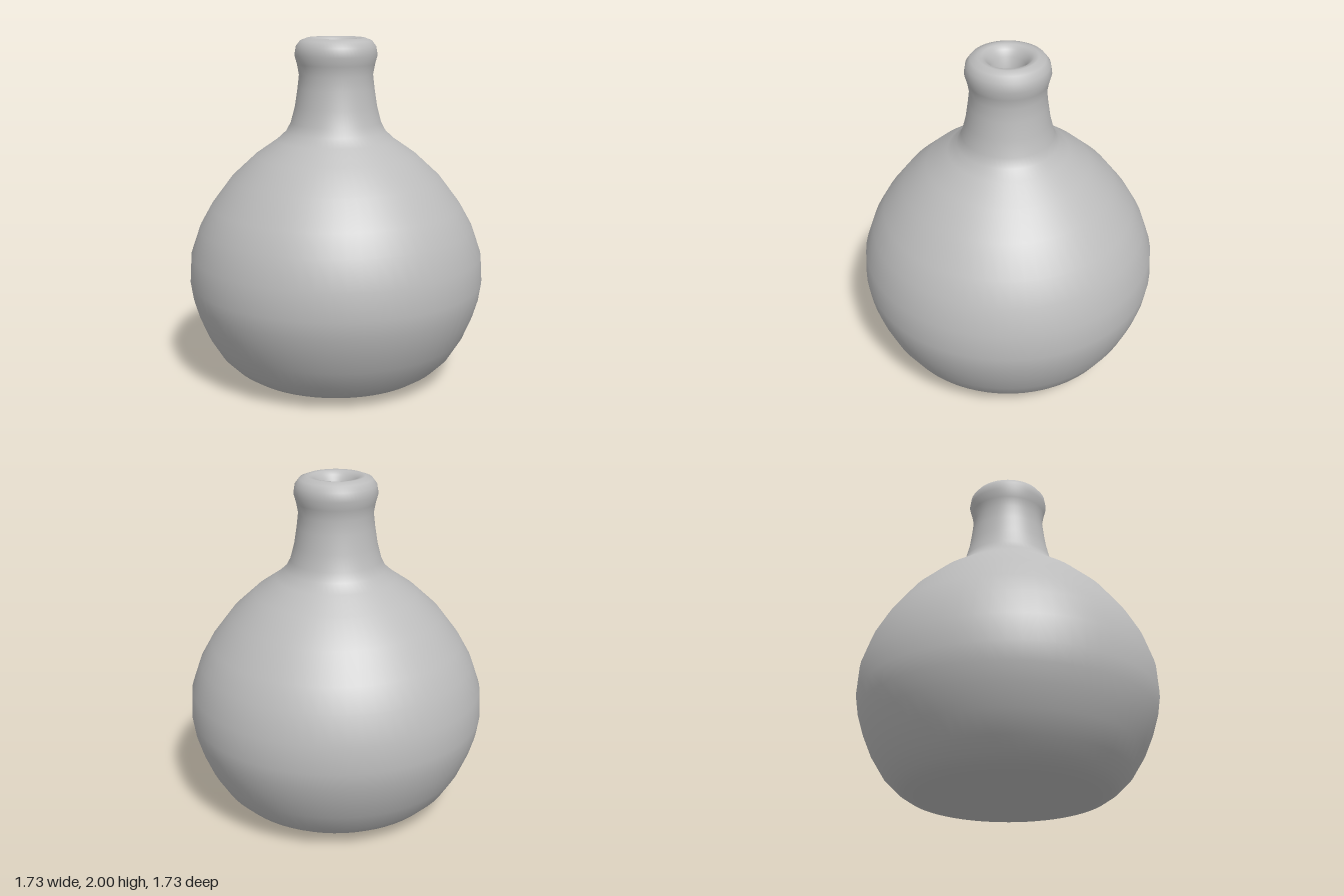
import * as THREE from 'three';

const clay = new THREE.MeshStandardMaterial({ color: 0xbcbcbc });
clay.name = 'greyClay';

// Revolve a [radius, height] profile; outer walls run upwards, inner walls downwards
function turned(name, profile) {
  const points = profile.map(([r, y]) => new THREE.Vector2(r, y));
  const mesh = new THREE.Mesh(new THREE.LatheGeometry(points, 64), clay);
  mesh.name = name;
  return mesh;
}

export function createModel() {
  const bottle = new THREE.Group();
  bottle.name = 'bottle';

  // Outer skin: gently domed base, round belly, concave neck, rolled lip, funnel mouth
  bottle.add(turned('outerWall', [
    [0, 0], [0.3, 0.006], [0.48, 0.022], [0.57, 0.045], [0.63, 0.085],
    [0.7, 0.155], [0.77, 0.27], [0.82, 0.39], [0.85, 0.49], [0.865, 0.59],
    [0.855, 0.75], [0.8, 0.91], [0.73, 1.035], [0.61, 1.195], [0.47, 1.325],
    [0.345, 1.412], [0.29, 1.462], [0.262, 1.515], [0.237, 1.61],
    [0.222, 1.71], [0.213, 1.79], [0.224, 1.85], [0.238, 1.9], [0.23, 1.95],
    [0.205, 1.983], [0.165, 1.998], [0.14, 1.995], [0.115, 1.975],
    [0.095, 1.94], [0.075, 1.88], [0.062, 1.81], [0.06, 1.74],
  ]));

  // Hollow inside, from the throat down to the floor
  bottle.add(turned('innerWall', [
    [0.06, 1.74], [0.1, 1.62], [0.15, 1.48], [0.28, 1.36], [0.42, 1.26],
    [0.56, 1.13], [0.68, 0.98], [0.76, 0.8], [0.78, 0.59], [0.74, 0.39],
    [0.66, 0.22], [0.55, 0.1], [0.45, 0.06], [0, 0.05],
  ]));

  return bottle;
}
